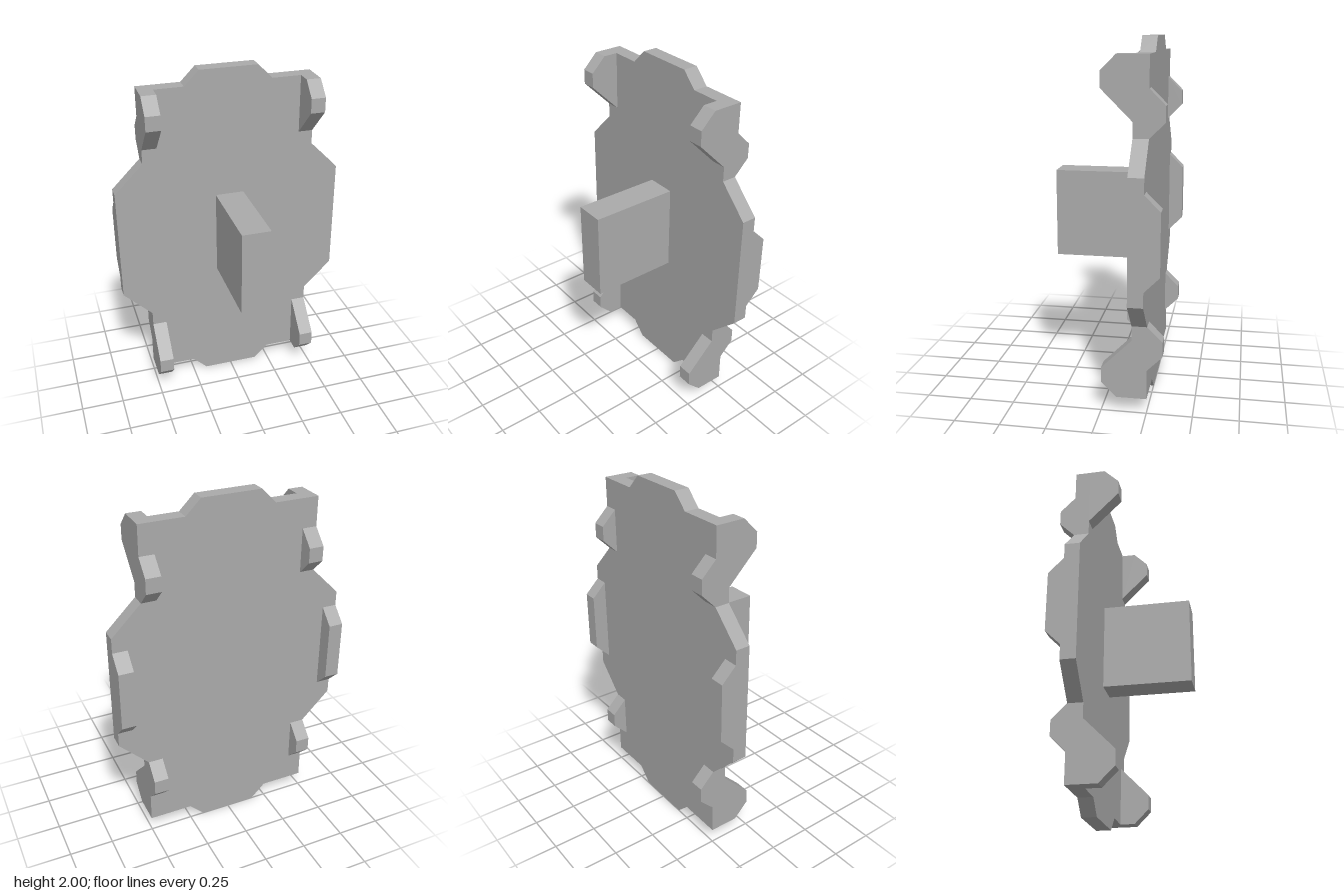
import * as THREE from 'three';

const U = 1 / 12; // the model sits on a grid of twelfths

const grey = new THREE.MeshStandardMaterial({ color: 0xaaaaaa });
grey.name = 'plain grey';

function extrude(points, depth) {
  const shape = new THREE.Shape(points.map(([a, b]) => new THREE.Vector2(a * U, b * U)));
  return new THREE.ExtrudeGeometry(shape, { depth: depth * U, bevelEnabled: false });
}

export function createModel() {
  const model = new THREE.Group();
  model.name = 'shieldPlate';

  function add(name, geometry) {
    const mesh = new THREE.Mesh(geometry, grey);
    mesh.name = name;
    model.add(mesh);
    return mesh;
  }

  // Main plate: right half of the outline, then its mirror image
  const half = [[2, 0], [3, 1], [6, 1], [6, 6], [8, 8], [8, 16], [6, 18], [6, 23], [3, 23], [2, 24]];
  const outline = [...half, ...half.map(([x, y]) => [-x, y]).reverse()];
  add('plate', extrude(outline, 1).translate(0, 0, -3 * U));

  // Central block standing out from the front
  add('frontBlock', new THREE.BoxGeometry(2 * U, 6 * U, 6 * U).translate(0, 12 * U, U));

  // Lugs one unit thick along the edges; profiles are [z, y]
  const lugs = [
    ['upperFrontLug', 6, [[-2, 23], [-1, 23], [0, 22], [0, 21], [-2, 19]]],
    ['lowerFrontLug', 6, [[-2, 5], [0, 3], [0, 2], [-1, 1], [-2, 1]]],
    ['upperBackLug', 6, [[-3, 21], [-4, 20], [-4, 19], [-3, 18]]],
    ['lowerBackLug', 6, [[-3, 6], [-4, 5], [-4, 4], [-3, 3]]],
    ['sideBackLug', 8, [[-3, 15], [-4, 14], [-4, 10], [-3, 9]]],
  ];
  for (const [name, outerX, profile] of lugs) {
    for (const [side, maxX] of [['left', outerX], ['right', 1 - outerX]]) {
      const geometry = extrude(profile, 1).rotateY(-Math.PI / 2).translate(maxX * U, 0, 0);
      add(`${side} ${name}`, geometry);
    }
  }
  return model;
}
